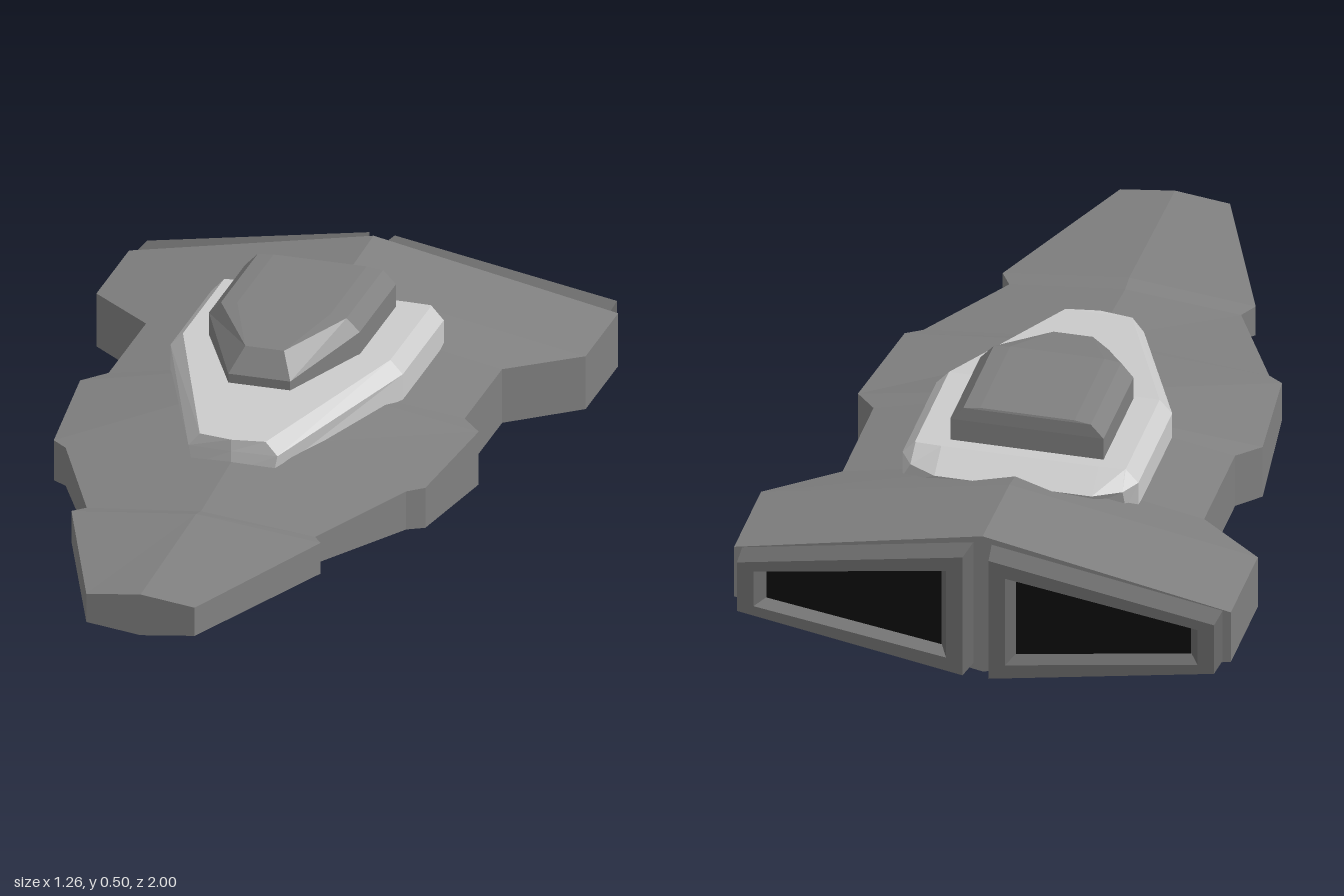
import * as THREE from 'three';

const paint = (color) => new THREE.MeshStandardMaterial({ color, flatShading: true });

// Skin a list of equal-length rings; both ends are closed by ladders of quads.
// Faces are turned outward using the signed volume of the closed solid.
function loft(name, rings, material) {
  const n = rings[0].length;
  const tris = [];
  const tri = (a, b, c) => {
    const u = new THREE.Vector3().subVectors(b, a);
    const v = new THREE.Vector3().subVectors(c, a);
    if (u.cross(v).length() > 1e-7) tris.push([a, b, c]);
  };
  const quad = (a, b, c, d) => { tri(a, b, c); tri(a, c, d); };
  const pts = rings.map((r) => r.map((p) => new THREE.Vector3(...p)));
  for (let k = 0; k + 1 < pts.length; k++) {
    for (let i = 0; i < n; i++) {
      const j = (i + 1) % n;
      quad(pts[k][i], pts[k][j], pts[k + 1][j], pts[k + 1][i]);
    }
  }
  const cap = (r, flip) => {
    for (let i = 0; i + 1 < n / 2; i++) {
      const q = [r[i], r[i + 1], r[n - 2 - i], r[n - 1 - i]];
      quad(...(flip ? q.reverse() : q));
    }
  };
  cap(pts[0], true);
  cap(pts[pts.length - 1], false);

  let volume = 0;
  for (const [a, b, c] of tris) volume += a.dot(new THREE.Vector3().crossVectors(b, c));
  if (volume < 0) tris.forEach((t) => t.reverse());
  const geometry = new THREE.BufferGeometry().setFromPoints(tris.flat());
  geometry.computeVertexNormals();
  const mesh = new THREE.Mesh(geometry, material);
  mesh.name = name;
  return mesh;
}

// Close a half outline by mirroring it across x = 0
const mirrorX = (half) => [...half, ...half.map(([x, y, z]) => [-x, y, z]).reverse()];

export function createModel() {
  const group = new THREE.Group();
  group.name = 'spaceship';
  const grey = paint(0x808080);
  const light = paint(0xcccccc);
  const dark = paint(0x6a6a6a);
  const black = paint(0x0c0c0c);

  // Hull: z, half width, ridge top, edge top, edge bottom, keel
  const stations = [
    [1.0, 0.14, 0.25, 0.233, 0.157, 0.14],
    [0.54, 0.322, 0.27, 0.235, 0.152, 0.118],
    [0.5, 0.295, 0.26, 0.23, 0.158, 0.129],
    [0.21, 0.44, 0.29, 0.248, 0.145, 0.102],
    [0.18, 0.48, 0.297, 0.25, 0.142, 0.09],
    [-0.15, 0.515, 0.35, 0.265, 0.122, 0.035],
    [-0.21, 0.46, 0.352, 0.267, 0.122, 0.035],
    [-0.52, 0.46, 0.355, 0.267, 0.122, 0.035],
    [-0.66, 0.632, 0.38, 0.265, 0.122, 0.02],
    [-0.93, 0.632, 0.39, 0.265, 0.122, 0],
  ];
  group.add(loft('hull', stations.map(([z, w, top, et, eb, keel]) =>
    mirrorX([[0, top, z], [w, et, z], [w, eb, z], [0, keel, z]])), grey));

  // Raised deck: bottom, widest and top outlines, nose to tail
  group.add(loft('deck', [
    [[0, 0.26, 0.25], [0.105, 0.26, 0.235], [0.3, 0.295, -0.21], [0.3, 0.295, -0.55],
      [0.27, 0.295, -0.56], [0.2, 0.3, -0.56], [0, 0.3, -0.56]],
    [[0, 0.315, 0.25], [0.115, 0.31, 0.235], [0.3, 0.365, -0.21], [0.3, 0.365, -0.55],
      [0.27, 0.357, -0.59], [0.2, 0.355, -0.625], [0, 0.355, -0.625]],
    [[0, 0.346, 0.25], [0.085, 0.346, 0.237], [0.268, 0.4, -0.21], [0.268, 0.4, -0.55],
      [0.266, 0.4, -0.553], [0.2, 0.4, -0.555], [0, 0.4, -0.555]],
  ].map(mirrorX), light));

  // Cockpit block with chamfered roof and sloping front
  const cockpit = loft('cockpit', [
    [[0.08, 0.365, -0.012], [0.195, 0.385, -0.22], [0.195, 0.385, -0.52]],
    [[0.08, 0.4, -0.012], [0.195, 0.46, -0.22], [0.195, 0.46, -0.52]],
    [[0.05, 0.46, -0.057], [0.162, 0.495, -0.215], [0.162, 0.495, -0.518]],
    [[0.05, 0.46, -0.057], [0.12, 0.5, -0.215], [0.12, 0.5, -0.516]],
  ].map(mirrorX), grey);
  cockpit.position.x = -0.009;
  group.add(cockpit);

  // Twin engines: tapered frames with a bevelled recess and a black outlet
  const MID = 0.195;
  for (const side of [1, -1]) {
    const engine = new THREE.Group();
    engine.name = side > 0 ? 'leftEngine' : 'rightEngine';
    // Tapered outline: inner x and half height, outer x and half height
    const ring = (xi, hi, xo, ho, z) => [
      [side * xi, MID + hi, z], [side * xo, MID + ho, z],
      [side * xo, MID - ho, z], [side * xi, MID - hi, z]];
    engine.add(loft('engineFrame', [
      ring(0.022, 0.175, 0.612, 0.072, -0.92),
      ring(0.033, 0.17, 0.607, 0.07, -1),
      ring(0.075, 0.125, 0.565, 0.05, -1),
      ring(0.095, 0.108, 0.54, 0.04, -0.965),
    ], dark));
    engine.add(loft('engineOutlet', [
      ring(0.095, 0.108, 0.54, 0.04, -0.95),
      ring(0.095, 0.108, 0.54, 0.04, -0.968),
    ], black));
    group.add(engine);
  }
  return group;
}
